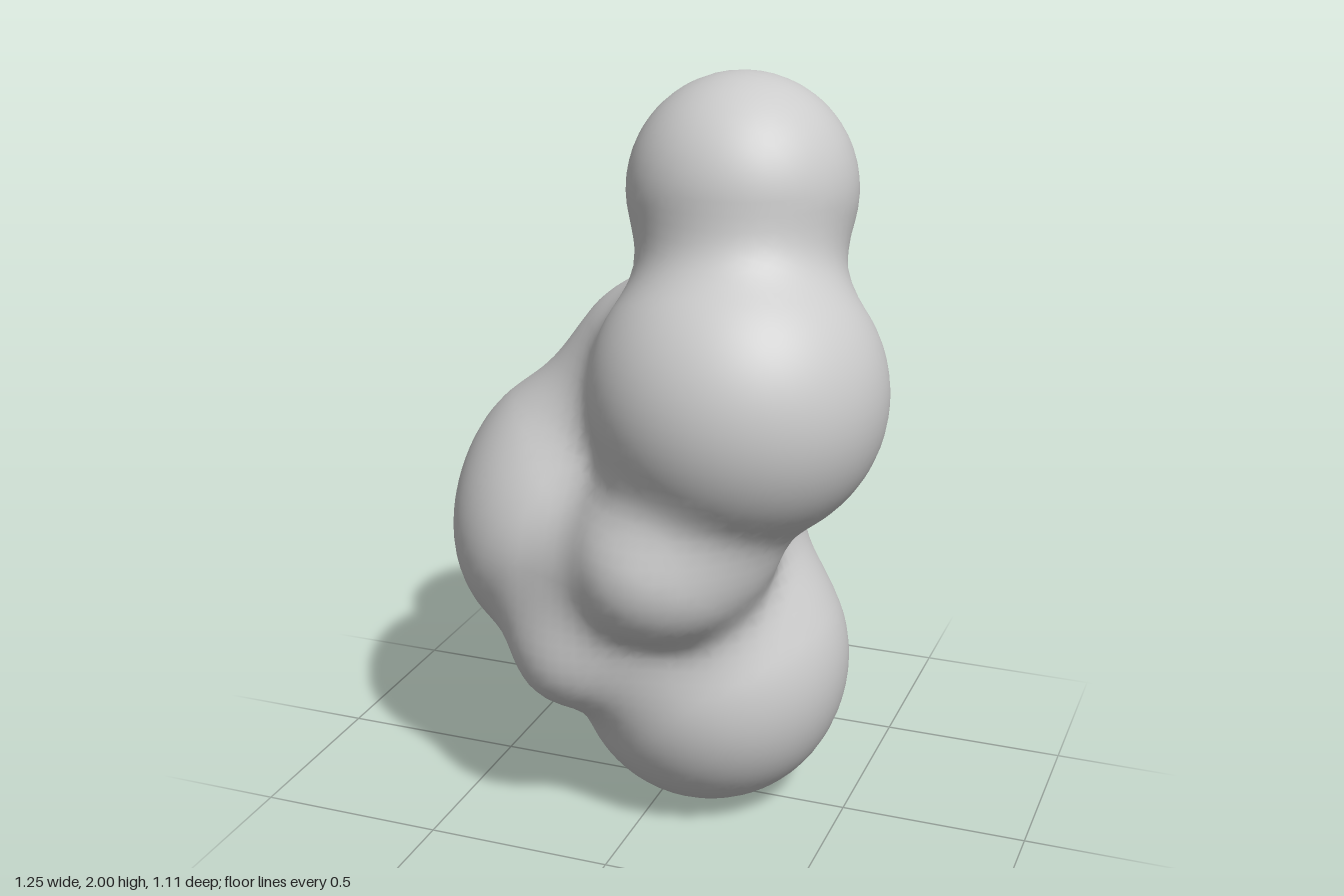
import * as THREE from 'three';

// Lobes of the body: name, centre x, y, z, radius
const LOBES = [
  ['head', 0.19, 1.708, 0.007, 0.293],
  ['chest', 0.24, 1.225, 0.175, 0.38],
  ['backLobe', 0.2, 1.11, -0.3, 0.252],
  ['backFill', 0.2, 1.2, -0.1, 0.24],
  ['shoulder', -0.045, 1.16, -0.11, 0.275],
  ['shoulderRear', -0.01, 1.1, -0.23, 0.235],
  ['sideLobe', -0.225, 0.8, -0.06, 0.385],
  ['sideRear', -0.32, 0.77, -0.17, 0.262],
  ['sideFront', -0.28, 0.71, 0.1, 0.26],
  ['belly', 0.07, 0.8, 0.325, 0.207],
  ['bellySide', 0.17, 0.81, 0.21, 0.17],
  ['frontFill', -0.12, 0.68, 0.23, 0.16],
  ['frontNub', -0.17, 0.5, 0.305, 0.137],
  ['waist', 0.1, 0.78, -0.1, 0.22],
  ['rearNub', 0.01, 0.59, -0.31, 0.16],
  ['base', 0.11, 0.37, -0.01, 0.366],
  ['baseTop', 0.16, 0.47, -0.05, 0.25],
];
const BLEND = 0.15;
const CELL = 0.035;
const MIN = [-0.75, -0.1, -0.7];
const COUNT = [43, 63, 40];

// Signed distance to the lobes, melted together where they meet
function field(x, y, z) {
  let d = 10;
  for (const [, cx, cy, cz, r] of LOBES) {
    const e = Math.hypot(x - cx, y - cy, z - cz) - r;
    const h = Math.max(BLEND - Math.abs(d - e), 0) / BLEND;
    d = Math.min(d, e) - h * h * BLEND * 0.25;
  }
  return d;
}

function gradient(x, y, z) {
  const e = 0.004;
  return new THREE.Vector3(
    field(x + e, y, z) - field(x - e, y, z),
    field(x, y + e, z) - field(x, y - e, z),
    field(x, y, z + e) - field(x, y, z - e)
  ).normalize();
}

// Skin the field with one vertex per crossed grid cell
function skinGeometry() {
  const [nx, ny, nz] = COUNT;
  const step = [1, nx, nx * ny];
  const coord = (i, a) => MIN[a] + i * CELL;
  const values = new Float32Array(nx * ny * nz);
  for (let k = 0; k < nz; k++)
    for (let j = 0; j < ny; j++)
      for (let i = 0; i < nx; i++)
        values[i + j * nx + k * step[2]] = field(coord(i, 0), coord(j, 1), coord(k, 2));

  const positions = [], normals = [], indices = [];
  const cellVertex = new Map();

  // Vertex of a cell: mean of its edge crossings, pulled onto the surface
  function vertexOf(cell) {
    if (cellVertex.has(cell)) return cellVertex.get(cell);
    const base = [cell % nx, Math.floor(cell / nx) % ny, Math.floor(cell / step[2])];
    const sum = [0, 0, 0];
    let hits = 0;
    for (let corner = 0; corner < 8; corner++) {
      const bits = [corner & 1, (corner >> 1) & 1, (corner >> 2) & 1];
      const p = cell + bits[0] * step[0] + bits[1] * step[1] + bits[2] * step[2];
      for (let a = 0; a < 3; a++) {
        if (bits[a]) continue;
        const v0 = values[p], v1 = values[p + step[a]];
        if ((v0 < 0) === (v1 < 0)) continue;
        for (let b = 0; b < 3; b++) sum[b] += bits[b] + (a === b ? v0 / (v0 - v1) : 0);
        hits++;
      }
    }
    const v = new THREE.Vector3(...sum.map((s, a) => coord(base[a] + s / hits, a)));
    v.addScaledVector(gradient(v.x, v.y, v.z), -field(v.x, v.y, v.z));
    const index = positions.length / 3;
    positions.push(v.x, v.y, v.z);
    normals.push(...gradient(v.x, v.y, v.z).toArray());
    cellVertex.set(cell, index);
    return index;
  }

  // One quad around every grid edge that crosses the surface
  for (let k = 1; k < nz - 1; k++)
    for (let j = 1; j < ny - 1; j++)
      for (let i = 1; i < nx - 1; i++) {
        const p = i + j * nx + k * step[2];
        for (let a = 0; a < 3; a++) {
          const inside = values[p] < 0;
          if (inside === (values[p + step[a]] < 0)) continue;
          const sb = step[(a + 1) % 3], sc = step[(a + 2) % 3];
          const quad = [p - sb - sc, p - sc, p, p - sb].map(vertexOf);
          if (!inside) quad.reverse();
          const [q0, q1, q2, q3] = quad;
          indices.push(q0, q1, q2, q0, q2, q3);
        }
      }

  const geometry = new THREE.BufferGeometry();
  geometry.setAttribute('position', new THREE.Float32BufferAttribute(positions, 3));
  geometry.setAttribute('normal', new THREE.Float32BufferAttribute(normals, 3));
  geometry.setIndex(indices);
  return geometry;
}

export function createModel() {
  const group = new THREE.Group();
  group.name = 'blobFigure';
  const body = new THREE.Mesh(skinGeometry(), new THREE.MeshStandardMaterial({ color: 0xcccccc }));
  body.name = 'body';
  group.add(body);
  return group;
}
